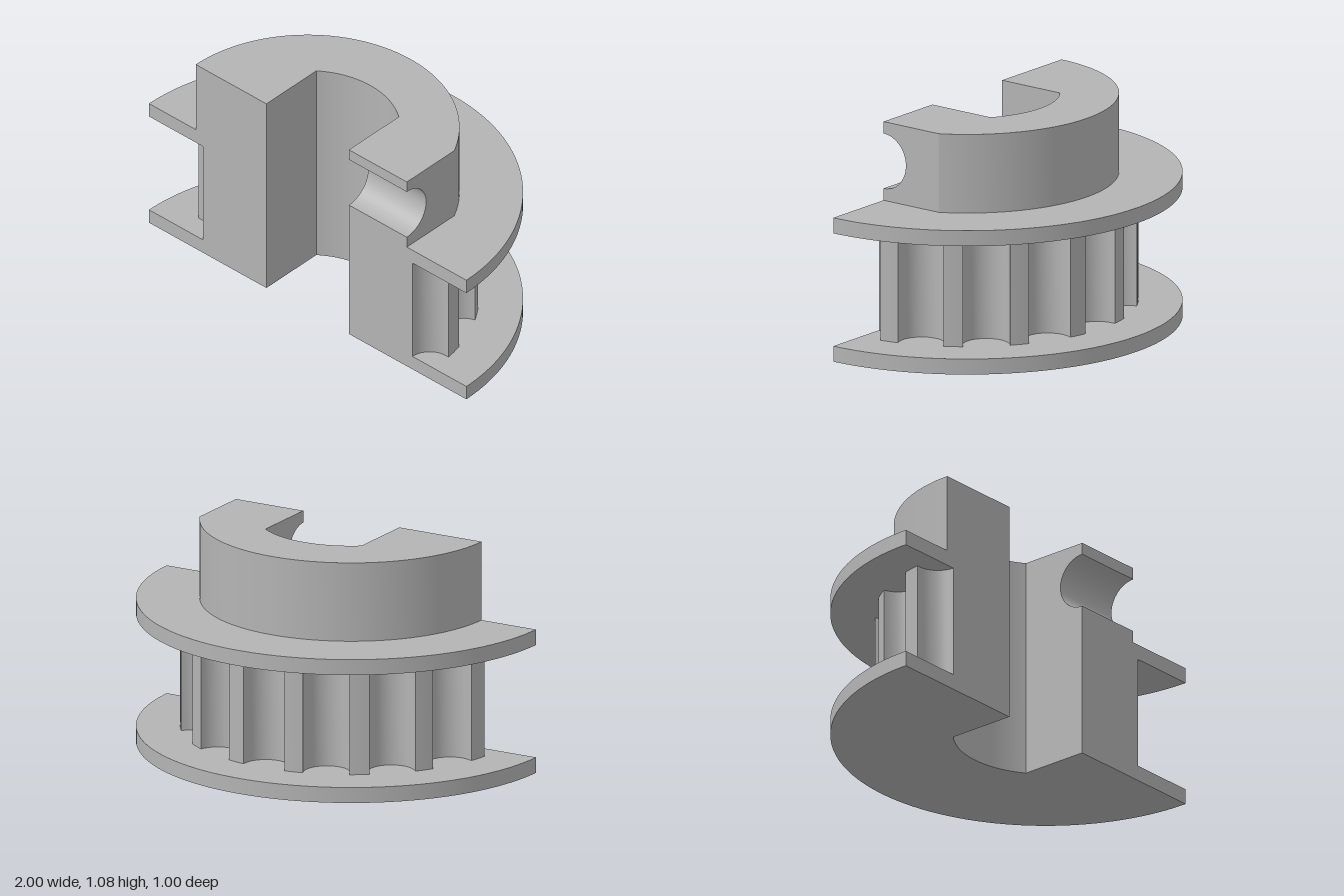
import * as THREE from 'three';
import { toCreasedNormals } from 'three/addons/utils/BufferGeometryUtils.js';

const FRONT = 0.5;                       // z of the cut plane, which holds the axis
const BORE_R = 0.43, BORE_X = 0.26;      // round bore with two flats
const HUB_R = 0.705, HUB_FLAT = 0.625;   // hub with a flat on its left side
const TEETH = 16, TOOTH_R = 0.795, GROOVE_R = 0.11, GROOVE_C = 0.77;

// Adds the bore edge to an outline that has come round to the -x side
function addBore(shape, endY = 0) {
  const a = Math.acos(BORE_X / BORE_R);
  shape.lineTo(-BORE_X, 0);
  shape.absarc(0, 0, BORE_R, Math.PI - a, a, true);
  shape.lineTo(BORE_X, endY);
  shape.closePath();
  return shape;
}

function extrude(shape, depth) {
  return new THREE.ExtrudeGeometry(shape, { depth, bevelEnabled: false, curveSegments: 64 });
}

// Extrudes a plan outline upwards from y0 to y1
function slab(shape, y0, y1) {
  const g = extrude(shape, y1 - y0);
  g.rotateX(-Math.PI / 2);
  g.translate(0, y0, FRONT);
  return toCreasedNormals(g, 0.5);
}

function flangeShape() {
  const s = new THREE.Shape();
  s.moveTo(1, 0);
  s.absarc(0, 0, 1, 0, Math.PI, false);
  return addBore(s);
}

// Half ring of teeth separated by round-bottomed grooves
function toothShape() {
  const pts = [], pitch = (2 * Math.PI) / TEETH;
  const half = pitch / 2 - Math.asin(GROOVE_R / TOOTH_R);
  for (let i = 0; i <= TEETH / 2; i++) {
    const a = i * pitch;
    for (let k = -10; k <= 10; k++) {
      if ((i === 0 && k < 0) || (i === TEETH / 2 && k > 0)) continue;
      const p = (k / 10) * (Math.PI / 2);
      const r = GROOVE_C - GROOVE_R * Math.cos(p), t = GROOVE_R * Math.sin(p);
      pts.push(new THREE.Vector2(r * Math.cos(a) - t * Math.sin(a), r * Math.sin(a) + t * Math.cos(a)));
    }
    if (i === TEETH / 2) break;
    for (let k = -2; k <= 2; k++) {
      const b = a + pitch / 2 + (k / 2) * half;
      pts.push(new THREE.Vector2(TOOTH_R * Math.cos(b), TOOTH_R * Math.sin(b)));
    }
  }
  return addBore(new THREE.Shape(pts));
}

export function createModel() {
  const group = new THREE.Group();
  const grey = new THREE.MeshStandardMaterial({ color: 0xb4b4b4 });
  grey.name = 'grey metal';
  const add = (name, geometry) => {
    const mesh = new THREE.Mesh(geometry, grey);
    mesh.name = name;
    group.add(mesh);
  };

  // Flanges and the toothed section between them
  add('lowerFlange', slab(flangeShape(), 0, 0.075));
  add('toothedSection', slab(toothShape(), 0.075, 0.62));
  add('upperFlange', slab(flangeShape(), 0.62, 0.695));

  // Hub, leaving out the block that holds the screw hole
  const flatEnd = Math.sqrt(HUB_R ** 2 - HUB_FLAT ** 2);
  const hub = new THREE.Shape();
  hub.moveTo(BORE_X, flatEnd);
  hub.lineTo(HUB_FLAT, flatEnd);
  hub.absarc(0, 0, HUB_R, Math.atan2(flatEnd, HUB_FLAT), Math.PI, false);
  add('hub', slab(addBore(hub, flatEnd), 0.695, 1.075));

  // Block with half a screw hole running along x
  const hole = 0.1325, holeY = 0.885;
  const block = new THREE.Shape();
  block.moveTo(0, 0.695);
  block.lineTo(flatEnd, 0.695);
  block.lineTo(flatEnd, 1.075);
  block.lineTo(0, 1.075);
  block.lineTo(0, holeY + hole);
  block.absarc(0, holeY, hole, Math.PI / 2, -Math.PI / 2, true);
  block.closePath();
  const g = extrude(block, HUB_FLAT - BORE_X);
  g.rotateY(Math.PI / 2);
  g.translate(BORE_X, 0, FRONT);
  add('screwHoleBlock', toCreasedNormals(g, 0.5));

  return group;
}
